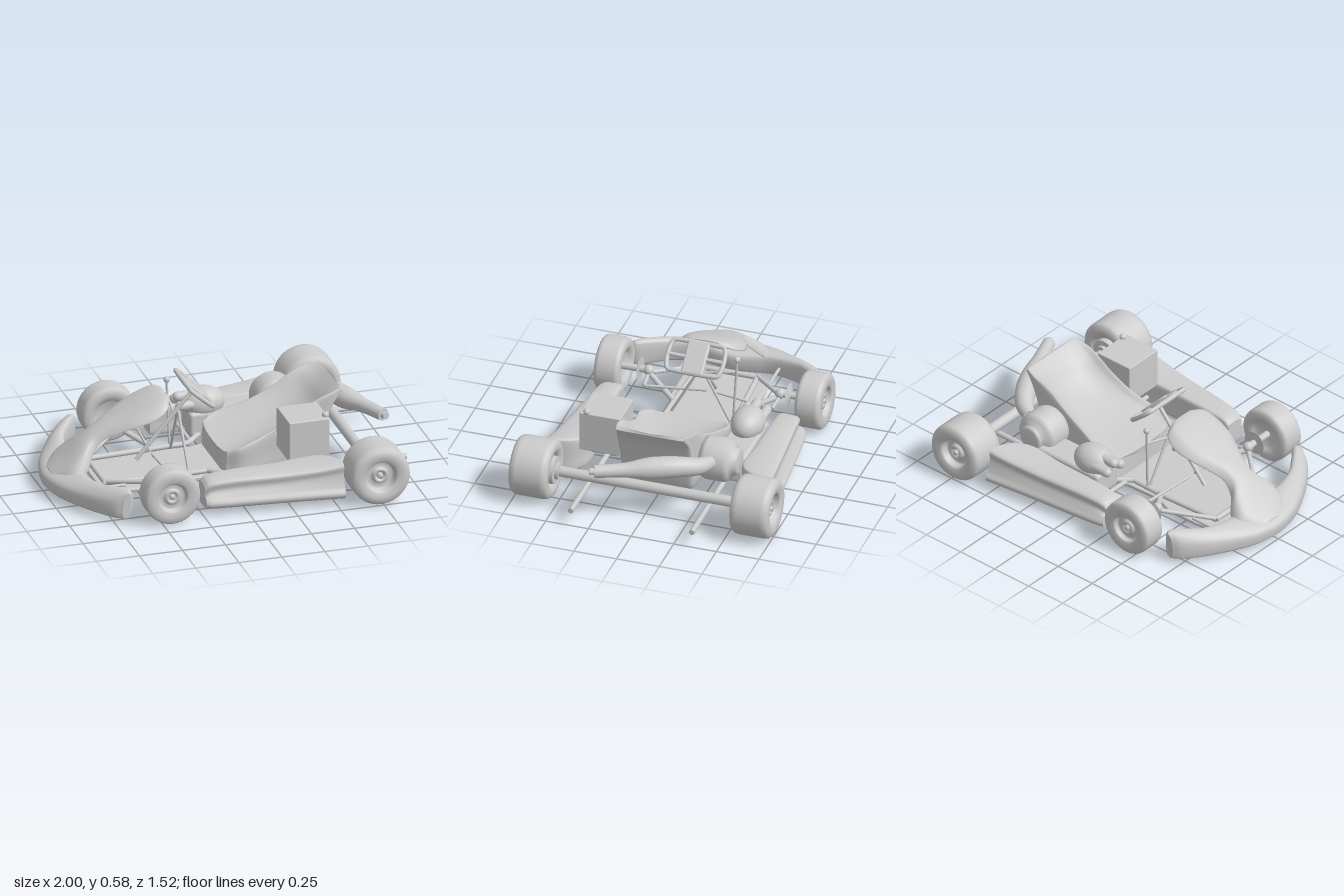
import * as THREE from 'three';
import { RoundedBoxGeometry } from 'three/addons/geometries/RoundedBoxGeometry.js';

const mat = new THREE.MeshStandardMaterial({ color: 0xcccccc, roughness: 0.7 });
const sheetMat = new THREE.MeshStandardMaterial({ color: 0xcccccc, roughness: 0.7, side: THREE.DoubleSide });
const V = (x, y, z) => new THREE.Vector3(x, y, z);

export function createModel() {
  const kart = new THREE.Group();
  kart.name = 'goKart';

  function add(name, geo, x = 0, y = 0, z = 0, parent = kart, material = mat) {
    const m = new THREE.Mesh(geo, material);
    m.name = name;
    m.position.set(x, y, z);
    parent.add(m);
    return m;
  }

  // Straight round bar between two points
  function rod(name, a, b, r, parent = kart, r2 = r) {
    const d = b.clone().sub(a);
    const m = add(name, new THREE.CylinderGeometry(r2, r, d.length(), 16), 0, 0, 0, parent);
    m.position.copy(a).add(b).multiplyScalar(0.5);
    m.quaternion.setFromUnitVectors(V(0, 1, 0), d.normalize());
    return m;
  }

  // Smooth closed surface through rows of control points, with end caps
  function loft(name, rows, nu = 24, nv = 30) {
    const across = rows.map(r => new THREE.CatmullRomCurve3(r, true, 'centripetal').getPoints(nu).slice(0, nu));
    const cols = across[0].map((_, i) => new THREE.CatmullRomCurve3(across.map(r => r[i]), false, 'centripetal').getPoints(nv));
    const pos = [], idx = [];
    for (let j = 0; j <= nv; j++) for (const col of cols) pos.push(...col[j].toArray());
    for (let j = 0; j < nv; j++) for (let i = 0; i < nu; i++) {
      const a = j * nu + i, b = j * nu + (i + 1) % nu;
      idx.push(a, b, a + nu, b, b + nu, a + nu);
    }
    for (const j of [0, nv]) {
      const start = pos.length / 3, c = V(0, 0, 0);
      for (const col of cols) { pos.push(...col[j].toArray()); c.addScaledVector(col[j], 1 / nu); }
      pos.push(...c.toArray());
      for (let i = 0; i < nu; i++) {
        const a = start + i, b = start + (i + 1) % nu;
        if (j) idx.push(start + nu, a, b); else idx.push(start + nu, b, a);
      }
    }
    const g = new THREE.BufferGeometry();
    g.setAttribute('position', new THREE.Float32BufferAttribute(pos, 3));
    g.setIndex(idx);
    g.computeVertexNormals();
    return add(name, g, 0, 0, 0, kart, sheetMat);
  }

  // Tyre, dished rim and hub in one turned profile
  function wheel(name, x, z, r, w, side) {
    const q = r * 0.53;
    const p = [[0, -w * .5], [q * .9, -w * .55], [q, -w * .85], [r * .72, -w], [r * .9, -w * .95], [r * .98, -w * .8], [r, -w * .6],
      [r, w * .6], [r * .98, w * .8], [r * .9, w * .95], [r * .72, w], [q * 1.08, w * .92], [q, w * .9], [q * .96, w * .84],
      [q * .9, w * .6], [q * .8, w * .55], [.052, w * .55], [.045, w * .6], [.042, w * .72], [.028, w * .74], [.022, w * .6],
      [.014, w * .6], [.014, w * .8], [0, w * .8]];
    const m = add(name, new THREE.LatheGeometry(p.map(a => new THREE.Vector2(...a)), 40), x, r + .005, side * z);
    m.rotation.x = side * Math.PI / 2;
  }

  for (const s of [1, -1]) {
    wheel('frontWheel', -.445, .588, .161, .076, s);
    wheel('rearWheel', .735, .647, .171, .115, s);

    // Front spindle, kingpin and tie rods
    rod('frontSpindle', V(-.445, .165, s * .38), V(-.445, .165, s * .57), .02);
    rod('brakeFlange', V(-.445, .165, s * .435), V(-.445, .165, s * .45), .07, kart, .02);
    add('kingpinBall', new THREE.SphereGeometry(.03, 20, 14), -.445, .165, s * .385);
    rod('steeringArm', V(-.445, .15, s * .385), V(-.33, .13, s * .375), .01);
    rod('tieRod', V(-.335, .13, s * .375), V(-.37, .15, s * .02), .008);
    rod('frontArm', V(-.445, .15, s * .385), V(-.69, .09, s * .17), .013);
    rod('rearArm', V(-.445, .15, s * .385), V(-.3, .09, s * .19), .016);

    // Main chassis rail and outriggers
    const railPath = new THREE.CurvePath();
    const rp = [V(-.7, .085, s * .17), V(-.32, .085, s * .19), V(-.1, .09, s * .19), V(.06, .1, s * .35), V(1, .1, s * .355)];
    for (let i = 0; i < 4; i++) railPath.add(new THREE.LineCurve3(rp[i], rp[i + 1]));
    add('chassisRail', new THREE.TubeGeometry(railPath, 120, .016, 12));
    rod('railEnd', V(.99, .1, s * .355), V(1, .1, s * .355), .016);
    rod('podSupport', V(-.075, .085, s * .18), V(-.075, .085, s * .5), .013);
    rod('podSupportRear', V(.35, .1, s * .3), V(.35, .1, s * .5), .013);
    rod('noseMount', V(-.82, .1, s * .262), V(-.6, .1, s * .262), .009);
    rod('columnStrut', V(-.215, .4, 0), V(-.205, .085, s * .17), .008);

    // Rear hubs
    rod('rearHub', V(.735, .175, s * .505), V(.735, .175, s * .57), .05);
    rod('rearHubFlange', V(.735, .175, s * .525), V(.735, .175, s * .56), .08);

    // Side pod: flat inner wall, waisted outer wall, widening to the rear
    const pods = [[-.235, .46, .605, .17], [-.21, .457, .615, .192], [-.1, .455, .63, .208], [.2, .455, .66, .215], [.42, .455, .685, .23],
      [.5, .51, .695, .24], [.545, .6, .7, .245]];
    loft('sidePod', pods.map(([x, a, b, h]) => {
      const d = b - a;
      return [[a, .045], [a, .12], [a, h - .012], [a + .012, h], [b - .04 - d * .07, h - .004], [b - .035, h - .02],
        [b - .04, h - .06], [b - .02, .11], [b, .075], [b - .01, .05], [b - .035, .043], [a + .02, .042]].map(([z, y]) => V(x, y, s * z));
    }), 72, 30);
  }

  rod('rearAxle', V(.735, .175, -.56), V(.735, .175, .56), .031);
  rod('frontCrossTube', V(-.69, .085, -.17), V(-.69, .085, .17), .016);

  // Floor pan with rounded front, running back into the seat
  const half = [[-.71, .13], [-.695, .19], [-.66, .225], [-.6, .235], [-.4, .235], [-.28, .19], [-.08, .2], [.06, .24]];
  const pan = new THREE.Shape([...half, ...half.slice().reverse().map(([x, z]) => [x, -z])].map(a => new THREE.Vector2(...a)));
  const panGeo = new THREE.ExtrudeGeometry(pan, { depth: .012, bevelEnabled: true, bevelSize: .01, bevelThickness: .006, bevelSegments: 2 });
  add('floorPan', panGeo.rotateX(-Math.PI / 2), 0, .045, 0);

  // Wide swept nose bumper: [z, front x, rear x, top y]
  const arm = [[.56, -.71, -.665, .185], [.535, -.75, -.65, .195], [.46, -.815, -.7, .19], [.36, -.88, -.765, .175], [.2, -.962, -.8, .165], [.1, -.99, -.785, .16]];
  const bumper = [...arm, [0, -1, -.77, .155], ...arm.slice().reverse().map(([z, ...r]) => [-z, ...r])];
  loft('noseBumper', bumper.map(([z, f, r, t]) => {
    const d = r - f;
    return [V(f + .01, .035, z), V(f, .06, z), V(f + .005, t * .68, z), V(f + d * .4, t * .92, z), V(f + d * .8, t, z),
      V(r, t - .015, z), V(r, .06, z), V(r - .01, .042, z)];
  }), 40, 60);

  // Front fairing flaring into the nose: [x, crown y, edge y, half width]
  loft('frontFairing', [[-.965, .13, .08, .1], [-.88, .2, .12, .19], [-.8, .275, .15, .17], [-.74, .325, .235, .105], [-.68, .362, .305, .097],
    [-.6, .402, .35, .13], [-.5, .45, .395, .172], [-.4, .495, .43, .187], [-.33, .518, .47, .165], [-.298, .52, .498, .1]].map(([x, t, e, w]) => {
    const m = e + (t - e) * .75;
    return [V(x, e, -w), V(x, m, -w * .75), V(x, t, -w * .3), V(x, t, w * .3), V(x, m, w * .75), V(x, e, w),
      V(x, m - .025, w * .6), V(x, t - .03, 0), V(x, m - .025, -w * .6)];
  }), 40, 40);

  // Seat: shallow inner sheet over a deep shell [centre x, y, edge x, y, shell x, y, half width]
  const seatRows = [[-.018, .185, 0, .2, -.01, .055, .225], [.08, .195, .07, .23, .08, .042, .258], [.25, .225, .25, .29, .25, .04, .228],
    [.42, .28, .4, .365, .42, .042, .215], [.53, .345, .48, .42, .53, .075, .212], [.6, .415, .54, .452, .57, .22, .215],
    [.645, .455, .6, .47, .62, .385, .215], [.685, .488, .665, .488, .682, .475, .2]];
  loft('seat', seatRows.map(([cx, cy, ex, ey, bx, by, w]) => {
    const inner = (u, k) => V(cx + (ex - cx) * k, cy + (ey - cy) * k, u * w);
    const outer = (u, k) => V(bx + (ex - bx) * k, by + (ey - by) * k, u * w);
    return [inner(-1, 1), inner(-.85, .6), inner(-.5, .15), inner(0, 0), inner(.5, .15), inner(.85, .6), inner(1, 1),
      outer(1, .5), outer(.98, .15), outer(.85, 0), outer(0, 0), outer(-.85, 0), outer(-.98, .15), outer(-1, .5)];
  }), 84, 50);

  // Steering wheel, tilted to meet the column
  const steering = new THREE.Group();
  steering.name = 'steeringWheel';
  steering.position.set(-.12, .51, 0);
  steering.rotation.z = -.72;
  kart.add(steering);
  const rim = [[-.09, -.11], [-.085, -.145], [-.05, -.16], [.05, -.16], [.085, -.145], [.09, -.11], [.09, .11], [.085, .145],
    [.05, .16], [-.05, .16], [-.085, .145], [-.09, .11]].map(([x, z]) => V(x, 0, z));
  add('steeringRim', new THREE.TubeGeometry(new THREE.CatmullRomCurve3(rim, true, 'centripetal'), 80, .013, 10, true), 0, 0, 0, steering);
  add('steeringPad', new RoundedBoxGeometry(.2, .03, .13, 3, .012), 0, 0, 0, steering);
  for (const s of [1, -1]) rod('steeringSpoke', V(0, 0, 0), V(0, 0, s * .16), .012, steering);
  rod('steeringColumn', V(-.46, .12, 0), V(-.125, .505, 0), .012);

  // Gear lever
  rod('gearLever', V(-.205, .08, -.19), V(-.215, .47, -.21), .007);
  add('gearKnob', new THREE.SphereGeometry(.018, 16, 12), -.215, .485, -.21);
  rod('gearLinkage', V(-.215, .4, -.21), V(-.23, .36, -.04), .007);

  // Radiator box and filler cap
  add('radiator', new RoundedBoxGeometry(.235, .24, .24, 2, .006), .405, .32, .345);
  rod('fillerNeck', V(.51, .41, .425), V(.51, .45, .425), .012);
  add('fillerCap', new THREE.SphereGeometry(.02, 16, 12), .51, .447, .425);

  // Engine and intake
  add('engineBlock', new RoundedBoxGeometry(.46, .14, .18, 3, .02), .17, .155, -.36);
  const crank = [[0, -.1], [.085, -.1], [.115, -.085], [.125, -.06], [.125, .05], [.11, .075], [.075, .085], [.075, .11], [.06, .12], [0, .12]];
  add('engineCase', new THREE.LatheGeometry(crank.map(a => new THREE.Vector2(...a)), 32), .44, .25, -.33).rotation.x = -Math.PI / 2;
  add('airbox', new THREE.SphereGeometry(1, 32, 20), .04, .255, -.36).scale.set(.125, .09, .095);
  for (const z of [-.42, -.365, -.31]) {
    const tube = add('intakeTrumpet', new THREE.CapsuleGeometry(.028, .13, 8, 16), -.04, z === -.365 ? .3 : .265, z);
    tube.rotation.z = Math.PI / 2;
  }

  // Exhaust with swollen chamber, swept across the rear
  const path = new THREE.CatmullRomCurve3([V(.55, .29, -.32), V(.63, .3, -.27), V(.71, .32, -.16), V(.77, .32, -.03), V(.83, .32, .09), V(.9, .32, .25)]);
  const radii = [.035, .05, .06, .062, .042, .036];
  loft('exhaust', radii.map((r, i) => {
    const c = path.points[i], t = path.getTangent(i / 5), side = V(t.z, 0, -t.x).normalize(), ring = [];
    for (let k = 0; k < 12; k++) {
      const a = k * Math.PI / 6;
      ring.push(c.clone().addScaledVector(side, r * Math.cos(a)).add(V(0, r * Math.sin(a), 0)));
    }
    return ring;
  }), 24, 40);
  rod('exhaustTip', V(.895, .32, .24), V(.91, .32, .275), .02);

  return kart;
}
